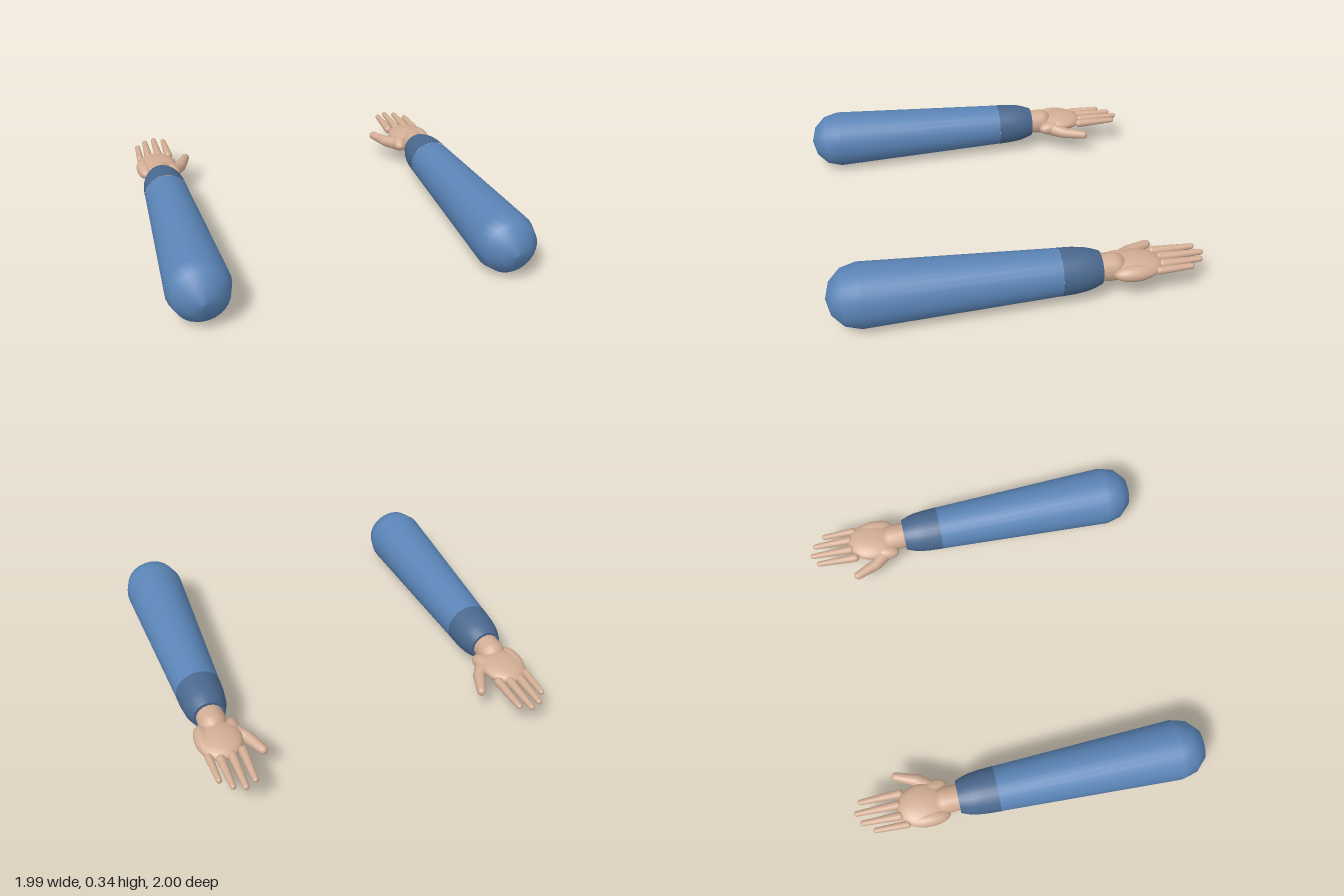
import * as THREE from 'three';

const AXIS_X = 0.825, AXIS_Y = 0.17;
const paint = (name, color) => {
  const m = new THREE.MeshStandardMaterial({ color });
  m.name = name;
  return m;
};

// Surface of revolution along z; points are [radius, z] with z rising
function turned(points, segments = 28) {
  const g = new THREE.LatheGeometry(points.map(([r, z]) => new THREE.Vector2(r, z)), segments);
  return g.rotateX(Math.PI / 2);
}

// Tapered rod with rounded ends, from point a to point b
function taperedRod(a, b, ra, rb) {
  const len = a.distanceTo(b), pts = [];
  for (let i = 0; i <= 5; i++) {
    const t = (i / 5) * Math.PI / 2;
    pts.push(new THREE.Vector2(ra * Math.sin(t), -ra * Math.cos(t)));
  }
  for (let i = 0; i <= 5; i++) {
    const t = (i / 5) * Math.PI / 2;
    pts.push(new THREE.Vector2(rb * Math.cos(t), len + rb * Math.sin(t)));
  }
  const g = new THREE.LatheGeometry(pts, 16);
  const dir = b.clone().sub(a).normalize();
  g.applyQuaternion(new THREE.Quaternion().setFromUnitVectors(new THREE.Vector3(0, 1, 0), dir));
  return g.translate(a.x, a.y, a.z);
}

function createArm(side, mats) {
  const arm = new THREE.Group();
  arm.name = side > 0 ? 'leftArm' : 'rightArm';
  const add = (name, geometry, material, parent = arm) => {
    const mesh = new THREE.Mesh(geometry, material);
    mesh.name = name;
    parent.add(mesh);
    return mesh;
  };
  const at = (x, y, z) => new THREE.Vector3(side * x, y, z);
  const ellipsoid = (x, y, z, rx, ry, rz, turn = 0) =>
    new THREE.SphereGeometry(1, 24, 16).scale(rx, ry, rz).rotateY(side * turn).translate(side * x, y, z);

  // Sleeve with a coarse domed shoulder end
  const R = 0.17, dome = [];
  for (let i = 0; i <= 3; i++) {
    const t = (i / 3) * Math.PI / 2;
    dome.push([R * Math.cos(t), 0.83 + R * Math.sin(t)]);
  }
  add('sleeve', turned([[0.126, -0.2], ...dome]), mats.sleeve).position.set(side * AXIS_X, AXIS_Y, 0);

  // Cuff narrowing to the wrist, closed by a flat hem
  const cuff = [[0.09, -0.42], [0.105, -0.38], [0.116, -0.34], [0.123, -0.28], [0.127, -0.2]];
  add('cuff', turned(cuff), mats.cuff).position.set(side * AXIS_X, AXIS_Y, 0);
  add('cuffHem', turned([[0, -0.42], [0.09, -0.4199]]), mats.cuff).position.set(side * AXIS_X, AXIS_Y, 0);

  // Hand
  const hand = new THREE.Group();
  hand.name = 'hand';
  arm.add(hand);
  add('wrist', taperedRod(at(0.825, 0.172, -0.38), at(0.825, 0.168, -0.487), 0.073, 0.077), mats.skin, hand);
  add('palm', ellipsoid(0.828, 0.168, -0.615, 0.122, 0.05, 0.145), mats.skin, hand);
  add('palmHeel', ellipsoid(0.905, 0.167, -0.59, 0.048, 0.044, 0.112), mats.skin, hand);
  add('thumbHeel', ellipsoid(0.752, 0.155, -0.56, 0.05, 0.045, 0.095, -0.3), mats.skin, hand);

  // Thumb in two joints
  const knuckle = at(0.68, 0.143, -0.62);
  add('thumbBase', taperedRod(at(0.735, 0.148, -0.555), knuckle, 0.042, 0.034), mats.skin, hand);
  add('thumbTip', taperedRod(knuckle, at(0.632, 0.141, -0.737), 0.034, 0.025), mats.skin, hand);

  // Fingers: base x, base z, tip x, tip z
  const fingers = {
    indexFinger: [0.737, -0.735, 0.74, -0.953],
    middleFinger: [0.797, -0.755, 0.798, -0.983],
    ringFinger: [0.86, -0.755, 0.857, -0.958],
    littleFinger: [0.914, -0.72, 0.91, -0.894],
  };
  for (const [name, [x0, z0, x1, z1]] of Object.entries(fingers)) {
    const r = name === 'littleFinger' ? 0.021 : 0.025;
    add(name, taperedRod(at(x0, 0.172, z0), at(x1, 0.175, z1), r, 0.016), mats.skin, hand);
  }
  return arm;
}

export function createModel() {
  const model = new THREE.Group();
  model.name = 'armPair';
  const mats = {
    sleeve: paint('sleeveBlue', 0x5a84b6),
    cuff: paint('cuffBlue', 0x4a688e),
    skin: paint('skin', 0xd2ad94),
  };
  for (const side of [1, -1]) model.add(createArm(side, mats));
  return model;
}
